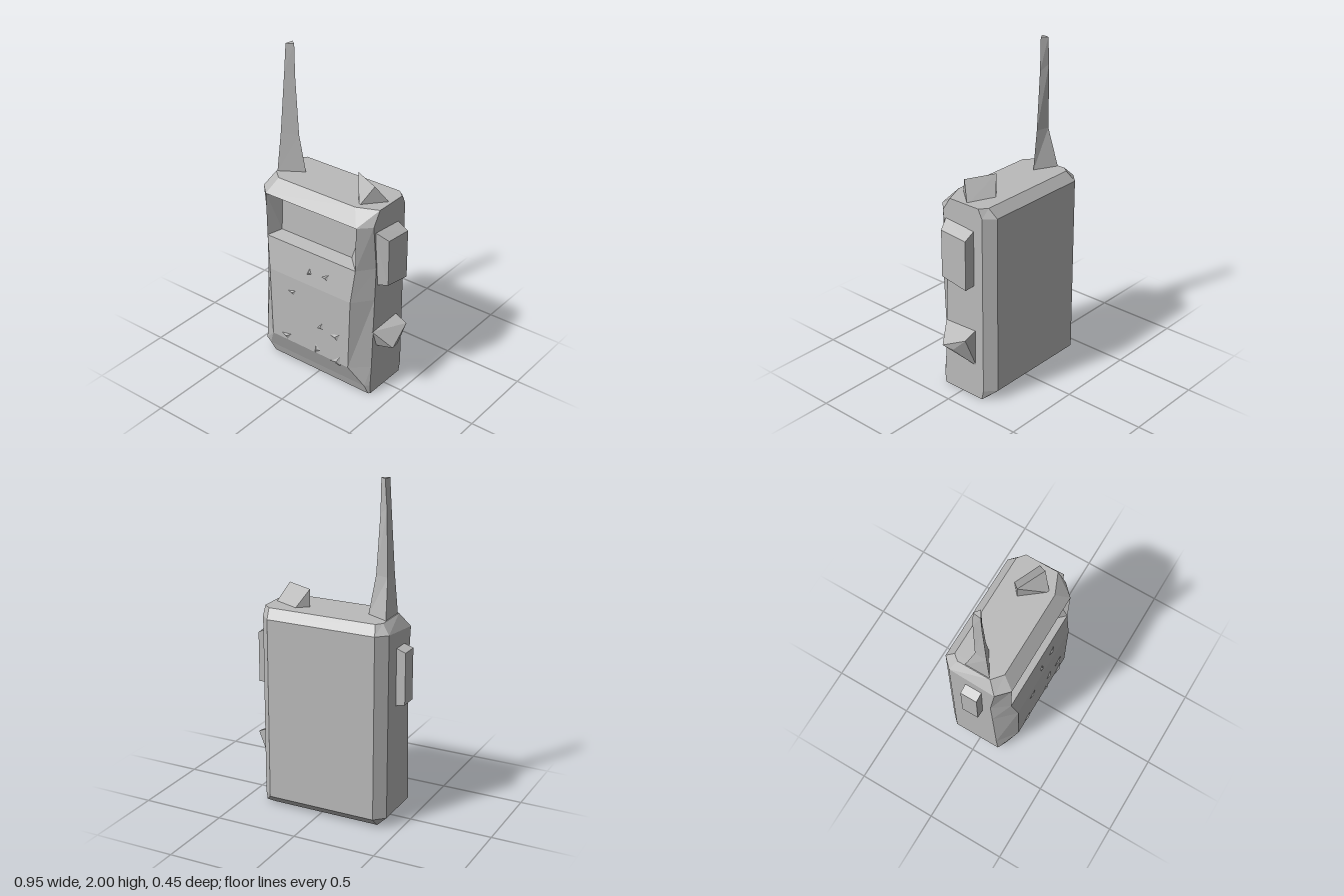
import * as THREE from 'three';
import { ConvexGeometry } from 'three/addons/geometries/ConvexGeometry.js';

const shellGrey = new THREE.MeshStandardMaterial({ color: 0xbababa, flatShading: true });
shellGrey.name = 'shellGrey';

// Collects flat quads and triangles into one geometry
function facets() {
  const pos = [];
  const tri = (a, b, c) => pos.push(...a, ...b, ...c);
  const quad = (a, b, c, d) => { tri(a, b, c); tri(a, c, d); };
  const build = () => {
    const g = new THREE.BufferGeometry();
    g.setAttribute('position', new THREE.Float32BufferAttribute(pos, 3));
    g.computeVertexNormals();
    return g;
  };
  return { tri, quad, build };
}

// Joins cross-sections (listed bottom to top); skip(level, side) leaves an opening
function loft(f, rings, skip = () => false) {
  const n = rings[0].length;
  for (let k = 0; k < rings.length - 1; k++) {
    for (let i = 0; i < n; i++) {
      const j = (i + 1) % n;
      if (!skip(k, i)) f.quad(rings[k][i], rings[k][j], rings[k + 1][j], rings[k + 1][i]);
    }
  }
  const lo = rings[0], hi = rings[rings.length - 1];
  for (let i = 1; i < n - 1; i++) {
    f.tri(lo[0], lo[i + 1], lo[i]);
    f.tri(hi[0], hi[i], hi[i + 1]);
  }
}

// Eight-sided body section: front edge, side edges and back edge
function section({ yF, yB = yF, xl = -0.42, xr = 0.375, fl, fr, zf, zs, zb = -0.222, zbs = -0.163, bl = -0.36, br = 0.315 }) {
  return [
    [fl, yF, zf], [fr, yF, zf], [xr, yF, zs], [xr, yB, zbs],
    [br, yB, zb], [bl, yB, zb], [xl, yB, zbs], [xl, yF, zs],
  ];
}

export function createModel() {
  const model = new THREE.Group();
  model.name = 'handheldRadio';
  const add = (name, geometry) => {
    const mesh = new THREE.Mesh(geometry, shellGrey);
    mesh.name = name;
    model.add(mesh);
    return mesh;
  };
  const addSolid = (name, points) =>
    add(name, new ConvexGeometry(points.map((p) => new THREE.Vector3(...p))));

  // Chamfered body with an opening for the screen
  const rings = [
    section({ yF: 0, xl: -0.36, fl: -0.35, fr: 0.365, zf: 0.145, zs: 0.135, zb: -0.157, zbs: -0.15 }),
    section({ yF: 0.06, fl: -0.37, fr: 0.35, zf: 0.165, zs: 0.14 }),
    section({ yF: 0.19, fl: -0.3, fr: 0.27, zf: 0.22, zs: 0.13 }),
    section({ yF: 0.65, fl: -0.31, fr: 0.285, zf: 0.222, zs: 0.11 }),
    section({ yF: 0.855, fl: -0.345, fr: 0.3, zf: 0.195, zs: 0.1 }),
    section({ yF: 1.135, yB: 1.165, fl: -0.345, fr: 0.305, zf: 0.2, zs: 0.13 }),
    section({ yF: 1.22, xl: -0.37, fl: -0.305, fr: 0.245, zf: 0.13, zs: 0.075, zb: -0.172, zbs: -0.135, bl: -0.34, br: 0.33 }),
  ];
  const body = facets();
  loft(body, rings, (level, side) => level === 4 && side === 0);
  add('body', body.build());

  // Sunken screen with sloping sides
  const rim = [rings[4][0], rings[4][1], rings[5][1], rings[5][0]];
  const pane = [[-0.305, 0.87, 0.11], [0.21, 0.87, 0.11], [0.285, 1.105, 0.1], [-0.305, 1.1, 0.1]];
  const recess = facets();
  rim.forEach((p, i) => {
    const j = (i + 1) % 4;
    recess.quad(p, rim[j], pane[j], pane[i]);
  });
  add('screenRecess', recess.build());
  const screen = facets();
  screen.quad(...pane);
  add('screen', screen.build());

  // Three-sided tapering antenna
  const antenna = facets();
  loft(antenna, [
    [[-0.365, 1.215, 0.07], [-0.225, 1.215, -0.02], [-0.365, 1.215, -0.09]],
    [[-0.352, 1.46, 0.048], [-0.265, 1.45, -0.01], [-0.345, 1.45, -0.03]],
    [[-0.338, 1.84, 0.022], [-0.287, 1.8, -0.01], [-0.337, 1.84, -0.035]],
    [[-0.332, 2, 0.014], [-0.29, 2, -0.01], [-0.325, 2, -0.036]],
  ]);
  add('antenna', antenna.build());

  // Wedge-shaped top knob
  addSolid('topKnob', [
    [0.13, 1.325, -0.05], [0.305, 1.325, 0.03],
    [0.13, 1.21, -0.05], [0.2, 1.21, -0.11], [0.36, 1.21, -0.04], [0.245, 1.21, 0.095],
  ]);

  // Buttons on the left flank
  addSolid('upperSideButton', [
    [0.36, 1.1, 0.115], [0.36, 1.08, -0.1], [0.36, 0.735, 0.085], [0.36, 0.735, -0.1],
    [0.445, 1.05, 0.08], [0.445, 1.035, -0.1], [0.445, 0.76, 0.08], [0.445, 0.73, -0.1],
  ]);
  addSolid('lowerSideButton', [
    [0.37, 0.435, 0.125], [0.37, 0.445, -0.105], [0.37, 0.21, -0.105], [0.37, 0.32, 0.085],
    [0.455, 0.41, -0.1], [0.475, 0.33, 0.06], [0.46, 0.32, -0.01],
  ]);

  // Clip plate on the right flank
  addSolid('sidePlate', [
    [-0.475, 1.04, 0.045], [-0.475, 1.04, -0.06], [-0.475, 0.73, 0.045], [-0.475, 0.73, -0.06],
    [-0.41, 1.062, 0.045], [-0.41, 1.062, -0.06], [-0.41, 0.715, 0.045], [-0.41, 0.715, -0.06],
  ]);

  // Worn keypad: shallow slivers of x, y, size and angle
  const keys = [
    [-0.14, 0.55, 0.05, 0.3], [-0.02, 0.73, 0.04, 1.2], [0.1, 0.74, 0.05, 0.5],
    [0.07, 0.39, 0.045, 0.9], [0.18, 0.37, 0.06, 0.4], [0.04, 0.22, 0.05, 1.5],
    [0.19, 0.2, 0.06, 0.7], [-0.19, 0.22, 0.05, 0.2],
  ];
  for (const [x, y, size, angle] of keys) {
    const g = new THREE.ConeGeometry(size, 0.012, 3);
    g.rotateX(Math.PI / 2);
    g.scale(1, 0.6, 1);
    g.rotateZ(angle);
    const slope = y > 0.65 ? 0.13 : 0;
    g.rotateX(-slope);
    add('key', g).position.set(x, y, 0.224 - Math.max(0, y - 0.65) * slope);
  }

  return model;
}
